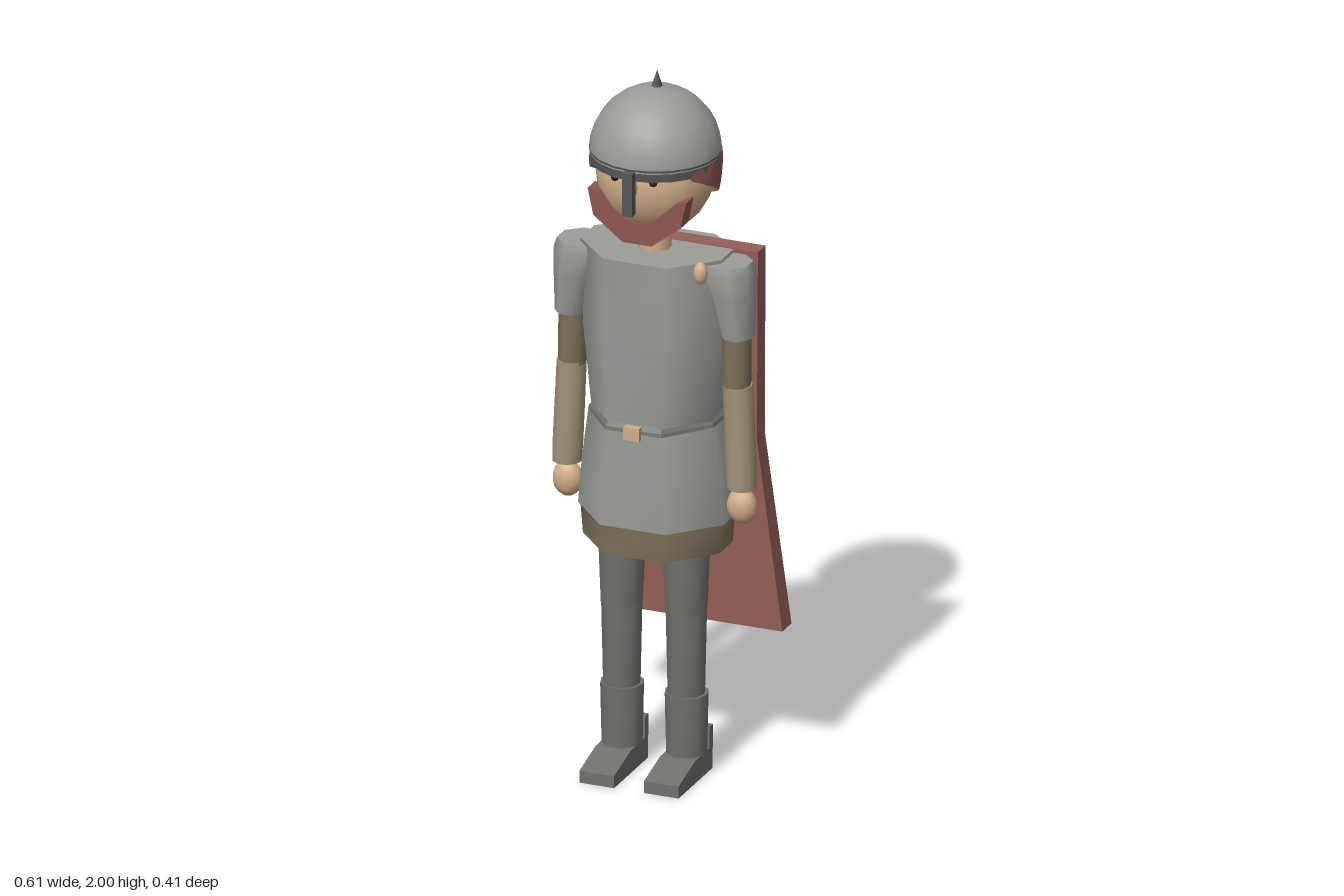
import * as THREE from 'three';
import { toCreasedNormals } from 'three/addons/utils/BufferGeometryUtils.js';

const mat = (name, color, side = THREE.FrontSide) => {
  const m = new THREE.MeshStandardMaterial({ color, side });
  m.name = name;
  return m;
};

// Joins closed rings of points (listed bottom to top, counter-clockwise from above) and caps both ends.
function loft(rings, crease = 1.0) {
  const n = rings[0].length, pos = [];
  const tri = (a, b, c) => pos.push(...a, ...b, ...c);
  for (let r = 0; r < rings.length - 1; r++) {
    for (let i = 0; i < n; i++) {
      const j = (i + 1) % n, lo = rings[r], hi = rings[r + 1];
      tri(lo[i], lo[j], hi[j]);
      tri(lo[i], hi[j], hi[i]);
    }
  }
  const lo = rings[0], hi = rings[rings.length - 1];
  for (let i = 1; i < n - 1; i++) {
    tri(hi[0], hi[i], hi[i + 1]);
    tri(lo[0], lo[i + 1], lo[i]);
  }
  const g = new THREE.BufferGeometry();
  g.setAttribute('position', new THREE.Float32BufferAttribute(pos, 3));
  return toCreasedNormals(g, crease);
}

// Elliptical ring at height y
function oval(x, y, z, rx, rz, n = 10) {
  return Array.from({ length: n }, (_, i) => {
    const a = ((i + 0.5) / n) * Math.PI * 2;
    return [x + rx * Math.sin(a), y, z + rz * Math.cos(a)];
  });
}

// Eight-sided body ring: half width w, front and back depth
function bodyRing(y, w, front, back) {
  const p = [[0.45 * w, front], [w, 0.04], [w, -0.055], [0.58 * w, back]];
  const right = p.map(([x, z]) => [x, y, z]);
  const left = p.map(([x, z]) => [-x, y, z]).reverse();
  return [...right, ...left];
}

export function createModel() {
  const mail = mat('mail grey', 0x9a9d98);
  const skin = mat('skin', 0xd2ad88);
  const red = mat('cape red', 0x955f58);
  const hairRed = mat('hair red', 0x8f5750, THREE.DoubleSide);
  const sleeve = mat('sleeve tan', 0xa39579);
  const tunicBrown = mat('tunic brown', 0x7d715a);
  const leather = mat('dark grey', 0x70706d);
  const iron = mat('iron', 0x555857);
  const dark = mat('eye dark', 0x2c2828);

  const model = new THREE.Group();
  model.name = 'soldier';
  const figure = new THREE.Group();
  figure.name = 'figure';
  figure.position.x = -0.014;
  model.add(figure);
  const add = (name, geo, material, x = 0, y = 0, z = 0, parent = figure) => {
    const m = new THREE.Mesh(geo, material);
    m.name = name;
    m.position.set(x, y, z);
    parent.add(m);
    return m;
  };

  // Body
  add('torso', loft([
    bodyRing(1.03, 0.172, 0.15, -0.125), bodyRing(1.25, 0.195, 0.155, -0.127),
    bodyRing(1.5, 0.203, 0.152, -0.122)]), mail);
  add('belt', loft([bodyRing(1.015, 0.181, 0.162, -0.137), bodyRing(1.025, 0.178, 0.16, -0.136),
    bodyRing(1.045, 0.158, 0.145, -0.12)], 0.3), leather);
  add('buckle', new THREE.BoxGeometry(0.045, 0.036, 0.02), skin, 0, 1.018, 0.166);
  add('mailSkirt', loft([bodyRing(0.74, 0.21, 0.166, -0.142), bodyRing(0.88, 0.198, 0.164, -0.14),
    bodyRing(1.017, 0.18, 0.16, -0.135)]), mail);
  add('tunicHem', loft([bodyRing(0.655, 0.196, 0.157, -0.128), bodyRing(0.75, 0.204, 0.16, -0.132)]), tunicBrown);
  add('neck', new THREE.CylinderGeometry(0.045, 0.045, 0.12, 10), skin, 0, 1.53, 0.014);
  add('brooch', new THREE.SphereGeometry(1, 10, 8), skin, 0.164, 1.475, 0.09).scale.set(0.02, 0.032, 0.02);

  // Arms and legs, mirrored
  for (const s of [-1, 1]) {
    const side = s > 0 ? 'left' : 'right';
    const limb = (name, rows, material, n) =>
      add(side + name, loft(rows.map(([x, y, z, rx, rz]) => oval(s * x, y, z, rx, rz, n))), material);

    limb('ShoulderSleeve', [[0.239, 1.28, 0.012, 0.045, 0.053], [0.222, 1.4, 0.012, 0.064, 0.07],
      [0.206, 1.465, 0.012, 0.08, 0.074], [0.203, 1.49, 0.012, 0.075, 0.068]], mail, 8);
    limb('UpperArm', [[0.237, 1.13, 0.014, 0.038, 0.044], [0.236, 1.3, 0.013, 0.038, 0.046]], tunicBrown);
    limb('Forearm', [[0.252, 0.845, 0.014, 0.04, 0.041], [0.25, 0.9, 0.014, 0.042, 0.043],
      [0.239, 1.14, 0.014, 0.04, 0.046]], sleeve);
    add(side + 'Hand', new THREE.SphereGeometry(1, 12, 9), skin, s * 0.251, 0.793, 0.013).scale.set(0.042, 0.051, 0.034);

    limb('Thigh', [[0.093, 0.47, 0.018, 0.057, 0.06], [0.093, 0.76, 0.016, 0.07, 0.067]], leather);
    limb('Shin', [[0.093, 0.2, 0.018, 0.05, 0.052], [0.093, 0.48, 0.018, 0.056, 0.059]], leather);
    limb('BootCuff', [[0.093, 0.06, 0.016, 0.056, 0.056], [0.093, 0.235, 0.016, 0.06, 0.06]], leather);

    // Boot profile, drawn in z and y, then extruded across the foot
    const sole = new THREE.Shape([[-0.042, 0], [0.19, 0], [0.19, 0.034], [0.08, 0.063], [-0.02, 0.066],
      [-0.024, 0.125], [-0.046, 0.125]].map(([z, y]) => new THREE.Vector2(z, y)));
    const boot = new THREE.ExtrudeGeometry(sole, { depth: 0.1, bevelEnabled: false });
    boot.translate(0, 0, -0.05).rotateY(-Math.PI / 2);
    add(side + 'Boot', boot, leather, s * 0.093);

    add(side + 'Eye', new THREE.SphereGeometry(0.012, 8, 6), dark, s * 0.055, 1.743, 0.155);
  }

  // Head
  add('head', new THREE.SphereGeometry(0.16, 18, 14), skin, 0, 1.715, 0.007).scale.y = 1.03;
  add('nose', new THREE.SphereGeometry(1, 8, 6), skin, 0, 1.725, 0.165).scale.set(0.014, 0.028, 0.016);

  // Beard: a chin strap with raised ends
  const strap = [[-0.142, 1.69], [-0.126, 1.615], [-0.042, 1.55], [0.042, 1.55], [0.126, 1.615], [0.142, 1.69],
    [0.112, 1.682], [0.045, 1.62], [0, 1.607], [-0.045, 1.62], [-0.112, 1.682]];
  const beard = new THREE.ExtrudeGeometry(new THREE.Shape(strap.map(p => new THREE.Vector2(...p))),
    { depth: 0.052, bevelEnabled: false });
  add('beard', beard, hairRed, 0, 0, 0.084);

  // Hair: a shell round the back of the head with a slanting lower edge
  const hair = new THREE.PlaneGeometry(1, 1, 20, 6), hp = hair.attributes.position;
  for (let i = 0; i < hp.count; i++) {
    const a = hp.getX(i) * 4.4, t = hp.getY(i) + 0.5;
    const low = 1.745 + (-0.165 * Math.cos(a) - 0.1) * 0.55;
    const y = THREE.MathUtils.lerp(Math.min(low, 1.77), 1.775, t);
    const r = 0.178 * Math.sqrt(1 - ((y - 1.745) / 0.25) ** 2);
    hp.setXYZ(i, -r * Math.sin(a), y, 0.004 - r * Math.cos(a));
  }
  hair.computeVertexNormals();
  add('hair', hair, hairRed);
  add('ponytail', loft([
    oval(0, 1.545, -0.187, 0.014, 0.018, 6), oval(0, 1.61, -0.174, 0.025, 0.025, 6),
    oval(0, 1.7, -0.158, 0.027, 0.027, 6), oval(0, 1.77, -0.166, 0.024, 0.02, 6),
    oval(0, 1.81, -0.163, 0.02, 0.02, 6)]), hairRed);

  // Helmet
  add('helmetDome', new THREE.SphereGeometry(0.178, 20, 8, 0, Math.PI * 2, 0, Math.PI / 2), mail, 0, 1.773, 0.007)
    .scale.y = 1.02;
  add('helmetRim', new THREE.CylinderGeometry(0.178, 0.176, 0.033, 20), iron, 0, 1.766, 0.007);
  add('helmetSpike', new THREE.ConeGeometry(0.019, 0.06, 6), iron, 0, 1.97, -0.002);
  add('noseGuard', new THREE.BoxGeometry(0.029, 0.122, 0.024), iron, 0, 1.716, 0.193);

  // Cape: hangs off the left shoulder, narrows at the waist and flares at the hem
  const capeRow = (y, half, front, back) =>
    [[-half, y, front], [half, y, front], [half, y, back], [-half, y, back]];
  add('cape', loft([capeRow(0.4, 0.245, -0.095, -0.158), capeRow(0.95, 0.181, -0.073, -0.128),
    capeRow(1.502, 0.196, -0.044, -0.096)], 0.3), red, 0.077);

  return model;
}
